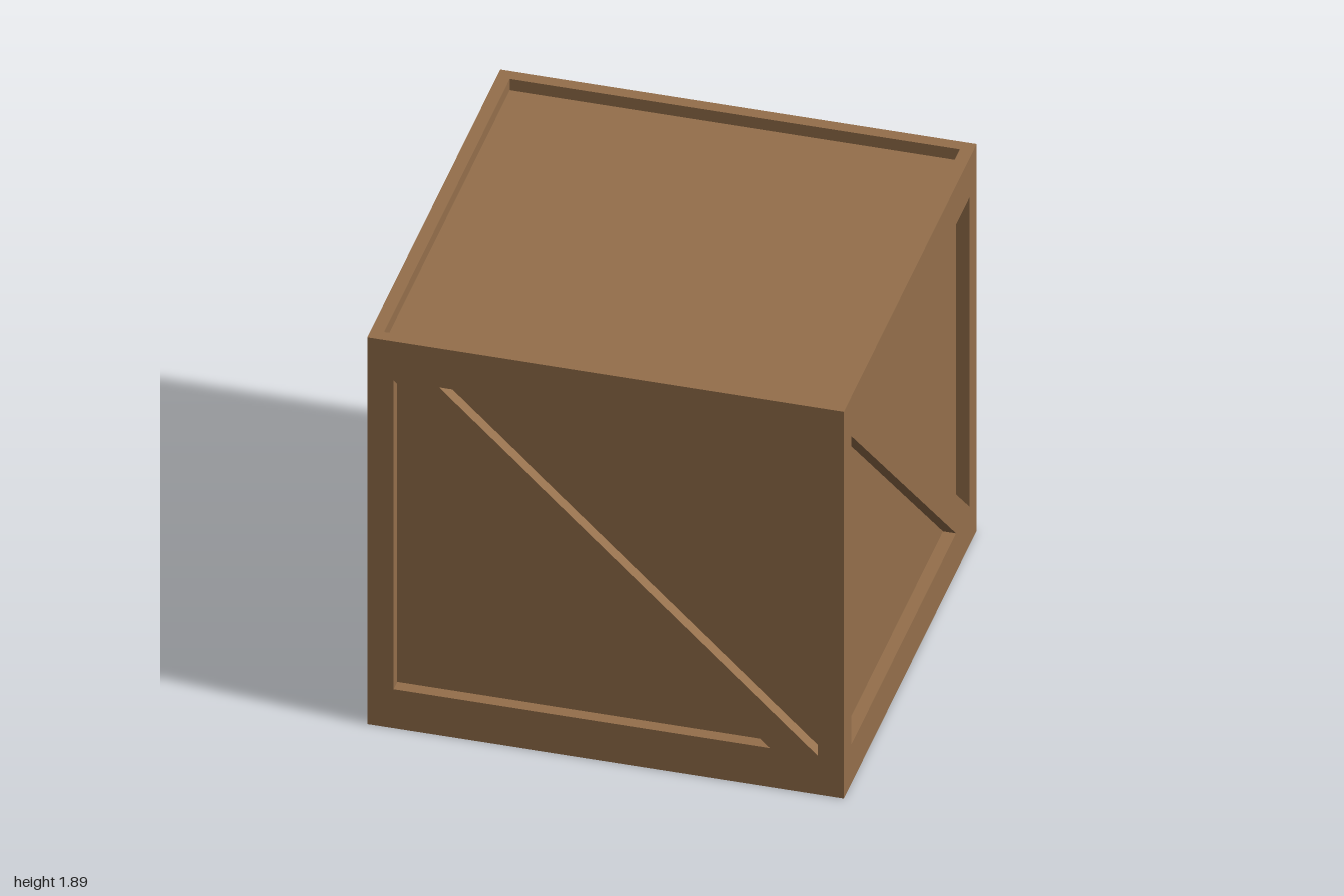
import * as THREE from 'three';

const H = 1.89;      // crate height
const T = 0.055;     // frame thickness
const IN = 1 - T;    // panel plane distance from centre

// Rectangular frame with one diagonal brace: two triangular openings, mitred sides
function frameGeometry() {
  const outline = new THREE.Shape([[-1, 0], [1, 0], [1, H], [-1, H]].map(p => new THREE.Vector2(...p)));
  const openings = [
    [[-0.89, 0.19], [-0.89, 1.70], [0.69, 0.19]],
    [[-0.70, 1.70], [0.89, 1.70], [0.89, 0.19]],
  ];
  for (const o of openings) outline.holes.push(new THREE.Path(o.map(p => new THREE.Vector2(...p))));
  const geo = new THREE.ExtrudeGeometry(outline, { depth: T, bevelEnabled: false });
  geo.translate(0, 0, IN);
  // Mitre the back edge so that four frames meet cleanly at the corners
  const pos = geo.attributes.position;
  for (let i = 0; i < pos.count; i++) {
    if (pos.getZ(i) < IN + 0.001 && Math.abs(pos.getX(i)) > 0.99) pos.setX(i, Math.sign(pos.getX(i)) * IN);
  }
  geo.computeVertexNormals();
  return geo;
}

export function createModel() {
  const crate = new THREE.Group();
  crate.name = 'crate';
  const wood = new THREE.MeshStandardMaterial({ color: 0x946f4b });
  wood.name = 'brown wood';

  const frameGeo = frameGeometry();
  const lidY = H - T;
  const panelGeo = new THREE.BoxGeometry(2 * IN, lidY, 0.004);
  panelGeo.translate(0, lidY / 2, IN - 0.002);

  // Four identical sides, each a braced frame over a recessed panel
  ['front', 'left', 'back', 'right'].forEach((side, i) => {
    const wall = new THREE.Group();
    wall.name = side + 'Side';
    const frame = new THREE.Mesh(frameGeo, wood);
    frame.name = side + 'Frame';
    const panel = new THREE.Mesh(panelGeo, wood);
    panel.name = side + 'Panel';
    wall.add(frame, panel);
    wall.rotation.y = i * Math.PI / 2;
    crate.add(wall);
  });

  // Recessed lid, a little short of the +x wall; the underside is open
  const lidRight = 0.93;
  const lid = new THREE.Mesh(new THREE.BoxGeometry(IN + lidRight, 0.004, 2 * IN), wood);
  lid.name = 'lid';
  lid.position.set((lidRight - IN) / 2, lidY - 0.002, 0);
  crate.add(lid);

  return crate;
}
